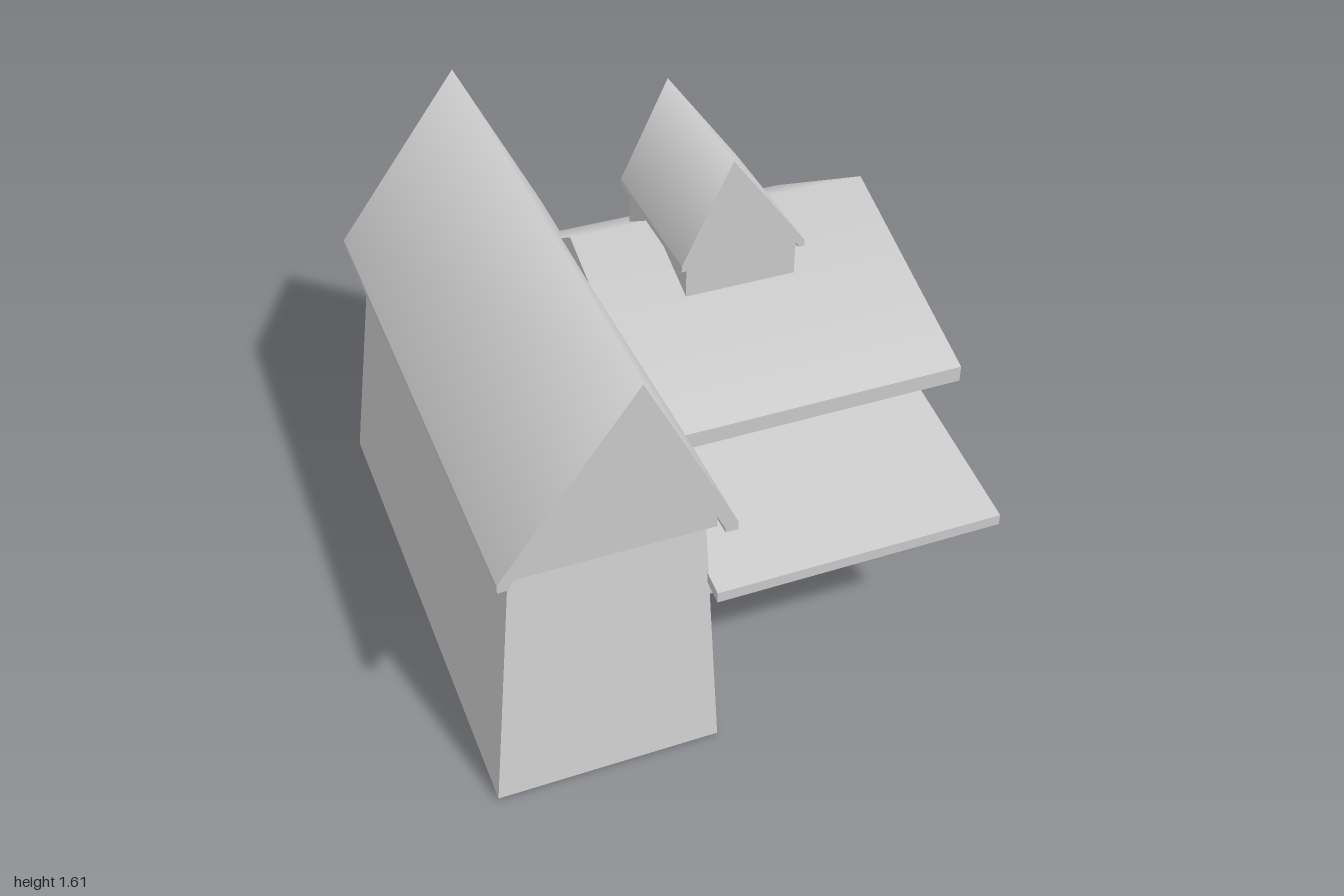
import * as THREE from 'three';

const grey = new THREE.MeshStandardMaterial({ color: 0xcccccc });

// Prism of an [across, y] profile, extruded along z from z0 to z1
function prism(points, z0, z1) {
  const shape = new THREE.Shape(points.map(([u, y]) => new THREE.Vector2(u, y)));
  const geo = new THREE.ExtrudeGeometry(shape, { depth: z1 - z0, bevelEnabled: false });
  return geo.translate(0, 0, z0);
}

// Turns a profile of [z, y] points into a prism running along x
function prismX(points, x0, x1) {
  return prism(points.map(([z, y]) => [-z, y]), x0, x1).rotateY(Math.PI / 2);
}

// Blends the slope normals across the ridge, leaving the gable ends flat
function softenRidge(geo, axis, ridge) {
  const p = geo.attributes.position, n = geo.attributes.normal;
  const across = axis === 'x' ? 'getX' : 'getZ';
  const along = axis === 'x' ? 'getZ' : 'getX';
  for (let i = 0; i < p.count; i++) {
    if (Math.abs(p[across](i) - ridge) < 1e-4 && Math.abs(n[along](i)) < 0.5) {
      n.setXYZ(i, 0, Math.sign(n.getY(i)), 0);
    }
  }
  return geo;
}

export function createModel() {
  const model = new THREE.Group();
  const add = (name, geo, parent = model) => {
    const mesh = new THREE.Mesh(geo, grey);
    mesh.name = name;
    parent.add(mesh);
  };
  const group = (name) => {
    const g = new THREE.Group();
    g.name = name;
    model.add(g);
    return g;
  };

  // Main house: gabled walls, overhanging roof and front awning
  const house = group('house');
  add('houseWalls', prismX(
    [[0.38, 0], [0.38, 0.9], [-0.3, 1.085], [-0.89, 0.77], [-0.89, 0]], -0.155, 0.845), house);
  add('houseRoof', softenRidge(prismX(
    [[0.52, 0.855], [0.52, 0.915], [-0.3, 1.2], [-1, 0.75], [-1, 0.705], [-0.3, 1.08]],
    -0.2, 0.92), 'z', -0.3), house);
  add('awning', prismX(
    [[0.98, 0.61], [0.98, 0.65], [0.37, 0.752], [0.37, 0.712]], -0.165, 0.845), house);

  // Side wing: walls lean in on the left and the front
  const wing = group('wing');
  const walls = new THREE.BoxGeometry(1, 1, 1);
  const pos = walls.attributes.position;
  for (let i = 0; i < pos.count; i++) {
    const top = pos.getY(i) > 0;
    const x = pos.getX(i) > 0 ? -0.16 : top ? -0.805 : -0.925;
    const z = pos.getZ(i) < 0 ? -0.895 : top ? 0.86 : 1;
    pos.setXYZ(i, x, top ? 0.868 : 0.01, z);
  }
  walls.computeVertexNormals();
  add('wingWalls', walls, wing);
  add('wingAttic', prism(
    [[-0.83, 0.865], [-0.14, 0.865], [-0.14, 0.91], [-0.405, 1.47], [-0.83, 0.91]],
    -0.915, 0.905), wing);
  add('wingRoof', softenRidge(prism(
    [[-0.87, 0.89], [-0.83, 0.89], [-0.83, 0.905], [-0.405, 1.465], [-0.138, 0.905],
      [-0.138, 0.89], [-0.095, 0.89], [-0.095, 0.92], [-0.405, 1.548], [-0.87, 0.92]],
    -0.985, 0.965), 'x', -0.405), wing);

  // Roof turret
  const turret = group('turret');
  add('turretWalls', prism(
    [[0.105, 1.03], [0.51, 1.03], [0.51, 1.22], [0.26, 1.56], [0.105, 1.22]],
    -0.53, 0.025), turret);
  add('turretRoof', softenRidge(prism(
    [[0.08, 1.207], [0.105, 1.207], [0.105, 1.215], [0.26, 1.555], [0.51, 1.215],
      [0.51, 1.207], [0.535, 1.207], [0.535, 1.23], [0.26, 1.605], [0.08, 1.23]],
    -0.55, 0.045), 'x', 0.26), turret);

  return model;
}
